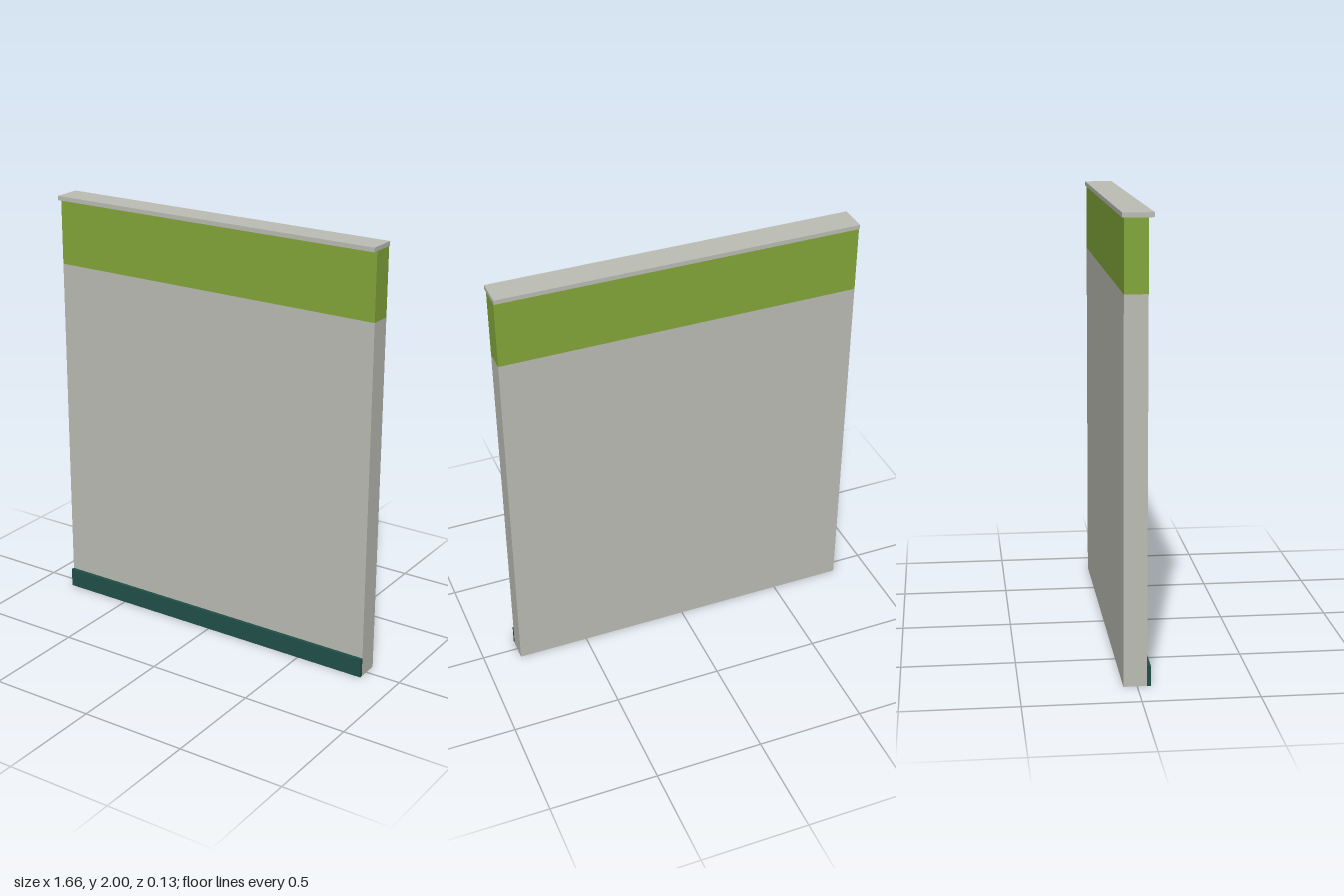
import * as THREE from 'three';

const WIDTH = 1.662;

export function createModel() {
  const model = new THREE.Group();
  model.name = 'wallPanel';

  const plaster = new THREE.MeshStandardMaterial({ name: 'warm grey', color: 0xbcbdb4 });
  const green = new THREE.MeshStandardMaterial({ name: 'leaf green', color: 0x83a73a });
  const teal = new THREE.MeshStandardMaterial({ name: 'dark teal', color: 0x205049 });

  // Full-width slab given by its height and depth ranges
  function slab(name, material, y0, y1, z0, z1) {
    const mesh = new THREE.Mesh(new THREE.BoxGeometry(WIDTH, y1 - y0, z1 - z0), material);
    mesh.name = name;
    mesh.position.set(0, (y0 + y1) / 2, (z0 + z1) / 2);
    model.add(mesh);
  }

  // Main wall, with the coloured band stacked on it
  slab('wall', plaster, 0, 1.672, -0.059, 0.042);
  slab('upperBand', green, 1.672, 1.98, -0.059, 0.042);

  // Capping rail overhanging the front more than the back
  slab('topCap', plaster, 1.98, 2, -0.066, 0.066);

  // Skirting board on the front only
  slab('baseboard', teal, 0, 0.09, 0.042, 0.058);

  return model;
}
